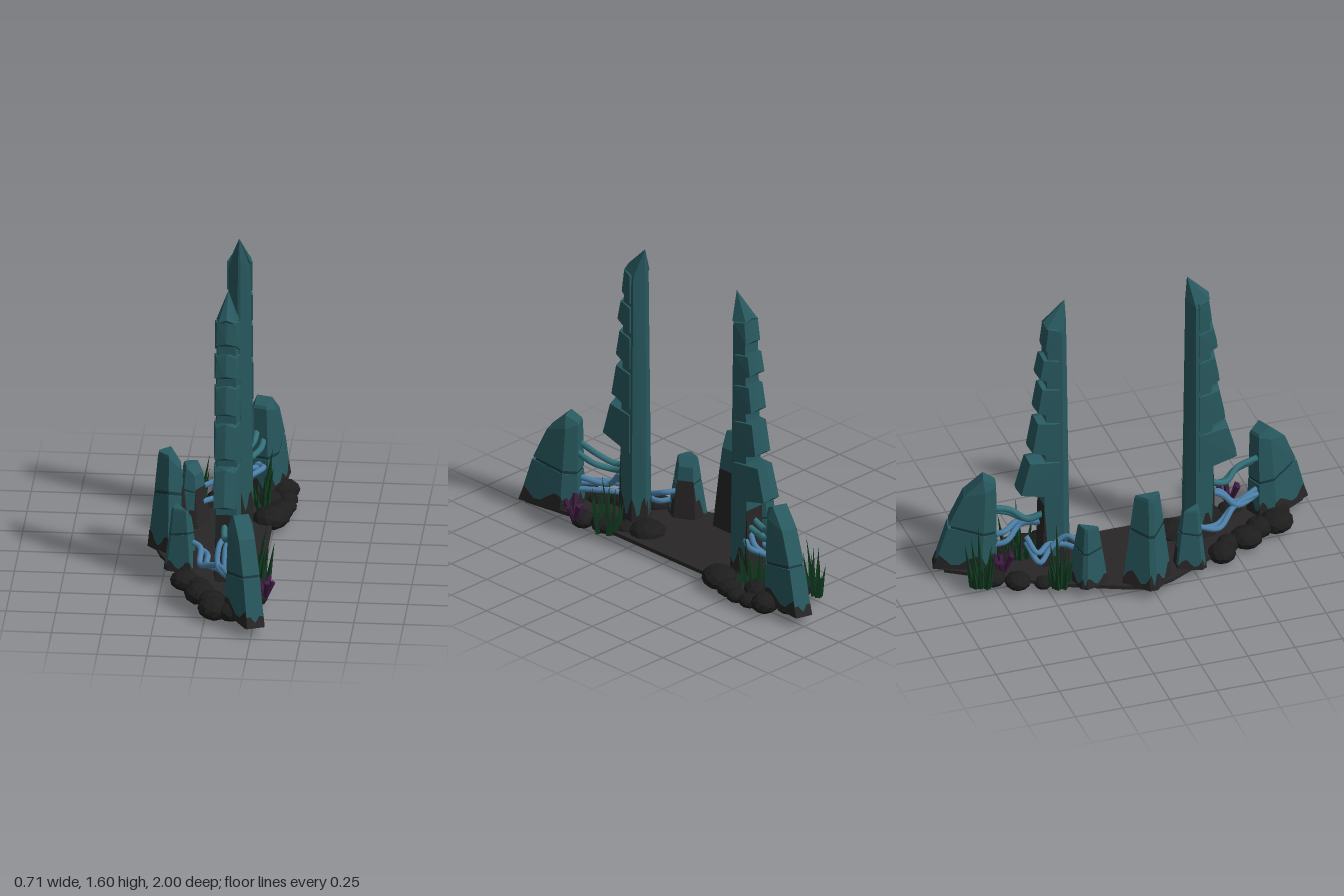
import * as THREE from 'three';
import { ConvexGeometry } from 'three/addons/geometries/ConvexGeometry.js';

const mat = (name, color, extra = {}) => {
  const m = new THREE.MeshStandardMaterial({ color, flatShading: true, ...extra });
  m.name = name;
  return m;
};
const V = (x, y, z) => new THREE.Vector3(x, y, z);

export function createModel() {
  const model = new THREE.Group();
  model.name = 'ruinedGate';
  const teal = mat('tealStone', 0x28595f);
  const groove = mat('grooveTeal', 0x183a3f);
  const dark = mat('darkStone', 0x282627, { side: THREE.DoubleSide });
  const rockMat = mat('rock', 0x1e1d1d);
  const blue = mat('cableBlue', 0x4c80a8, { flatShading: false });
  const tealCable = mat('cableTeal', 0x33707a, { flatShading: false });
  const green = mat('weedGreen', 0x103a20);
  const purple = mat('coralPurple', 0x3d1b40);

  let seed = 7;
  const rnd = () => (seed = (seed * 16807) % 2147483647) / 2147483647;
  const add = (parent, name, geo, m) => {
    const mesh = new THREE.Mesh(geo, m);
    mesh.name = name;
    parent.add(mesh);
    return mesh;
  };
  const hull = (parent, name, pts, m) => add(parent, name, new ConvexGeometry(pts), m);

  // Half cross-section [x, y, z] mirrored into a closed ring
  const ring = (half) => [
    ...half.map(([x, y, z]) => V(x, y, z)),
    ...half.slice().reverse().map(([x, y, z]) => V(-x, y, z)),
  ];
  const between = (a, b, t, grow = 1) => {
    const c = a.reduce((s, p) => s.add(p), V(0, 0, 0)).divideScalar(a.length);
    return a.map((p, i) => {
      const q = p.clone().lerp(b[i], t);
      q.x *= grow;
      q.z = c.z + (q.z - c.z) * grow;
      return q;
    });
  };

  // Worn dark stone skin hugging the foot of a block, with an uneven top edge
  function wornFoot(parent, a, b, height) {
    const n = a.length, div = 6, pos = [], idx = [];
    const lo = between(a, b, 0, 1.02), hi = between(a, b, 1, 1.03);
    for (let i = 0; i < n * div; i++) {
      const k = Math.floor(i / div), f = (i % div) / div, j = (k + 1) % n;
      const p = lo[k].clone().lerp(lo[j], f), q = hi[k].clone().lerp(hi[j], f);
      const r = p.clone().lerp(q, height(p, i));
      pos.push(p.x, p.y, p.z, r.x, r.y, r.z);
      const s = 2 * i, e = 2 * ((i + 1) % (n * div));
      idx.push(s, e, s + 1, e, e + 1, s + 1);
    }
    const g = new THREE.BufferGeometry();
    g.setAttribute('position', new THREE.Float32BufferAttribute(pos, 3));
    g.setIndex(idx);
    g.computeVertexNormals();
    add(parent, 'wornFoot', g, dark);
  }

  const place = (name, x, z, angle, scale = [1, 1, 1]) => {
    const g = new THREE.Group();
    g.name = name;
    g.position.set(x, 0.055, z);
    g.rotation.y = angle;
    g.scale.set(...scale);
    model.add(g);
    return g;
  };

  // Tilted stone block split in two by a groove; local +z points outward
  function block(g, a, b, cap, split, tilt, height) {
    const cut = (t) => between(a, b, t).map((p) => p.setY(p.y + tilt * (p.z - 0.1)));
    hull(g, 'grooveCore', [...between(a, b, 0.1, 0.96), ...between(a, b, 0.92, 0.95)], groove);
    hull(g, 'lowerBlock', [...a, ...cut(split)], teal);
    hull(g, 'upperBlock', [...cut(split + 0.04), ...b, ...cap], teal);
    wornFoot(g, a, b, height);
  }

  // Outer pylons
  const pylonA = ring([[0.05, 0, 0], [0.09, 0, 0.08], [0.045, 0, 0.32]]);
  const pylonB = ring([[0.035, 0.47, 0.005], [0.065, 0.45, 0.06], [0.042, 0.42, 0.17]]);
  const pylonCap = ring([[0.032, 0.485, 0.012], [0.04, 0.515, 0.07]]);
  for (const [x, z, a] of [[0.155, 0.675, 0.386], [0.155, -0.685, Math.PI - 0.278]])
    block(place('outerPylon', x, z, a), pylonA, pylonB, pylonCap, 0.47, 0.28,
      (p, i) => 0.13 + 0.07 * Math.sin(i * 1.15));

  // Centre and side pillars, with a dark arch on the inner face
  const pillarA = ring([[0.07, 0, 0], [0.13, 0, 0.09], [0.02, 0, 0.2]]);
  const pillarB = ring([[0.045, 0.44, 0.04], [0.067, 0.5, 0.09], [0.012, 0.49, 0.15]]);
  const pillarCap = ring([[0.06, 0.515, 0.09], [0.01, 0.515, 0.145]]);
  const arch = (p, i) => (p.z < 0.005 ? 0.74 : p.z < 0.05 ? 0.35 : 0.12 + 0.07 * Math.sin(i * 1.2));
  for (const [name, x, z, a, s] of [
    ['centrePillar', -0.15, -0.025, -Math.PI / 2, [1, 1, 1]],
    ['sidePillar', -0.1, 0.2, -1.04, [0.8, 0.64, 0.8]],
    ['sidePillar', -0.09, -0.27, -2.1, [0.8, 0.64, 0.8]],
  ]) block(place(name, x, z, a, s), pillarA, pillarB, pillarCap, 0.62, -0.25, arch);

  // Tall towers with stepped armour plates on the outer side
  const towerA = ring([[0.012, 0, 0], [0.07, 0, 0.05], [0.055, 0, 0.155]]);
  const towerB = ring([[0.006, 1.42, 0.018], [0.055, 1.38, 0.055], [0.045, 1.37, 0.128]]);
  const plates = [ // bottom, top, reach at bottom, reach at top
    [1.265, 1.42, 0.152, 0.138], [1.1, 1.24, 0.182, 0.162], [0.9, 1.07, 0.192, 0.17],
    [0.67, 0.87, 0.222, 0.193], [0.43, 0.64, 0.283, 0.235],
  ];
  for (const [z, a] of [[0.272, 0], [-0.328, Math.PI]]) {
    const g = place('tower', 0.08, z, a);
    hull(g, 'towerBody', [...towerA, ...towerB, V(0, 1.545, 0.025)], teal);
    wornFoot(g, towerA, towerB, (p, i) => (p.z > 0.15 ? 0.27 : 0.08 + 0.04 * Math.sin(i * 1.3)));
    plates.forEach(([y0, y1, z0, z1], i) => {
      const w = 0.064 - i * -0.001;
      hull(g, 'armourPlate', [
        ...ring([[w, y0 - 0.02, 0.07], [w * 0.8, y0 + 0.025, z0 - 0.012]]),
        ...ring([[w, y1 - 0.02, 0.07], [w * 0.75, y1 - 0.01, z1 - 0.012]]),
        V(0, y0 + 0.04, z0), V(0, y1 + 0.01, z1 - 0.005),
      ], teal);
    });
    hull(g, 'towerCrest', [
      ...ring([[0.057, 1.4, 0.05], [0.042, 1.41, 0.132]]), V(0, 1.545, 0.025), V(0, 1.43, 0.14),
    ], teal);
  }

  // Floor slab
  const outline = [[0.25, -0.6], [0.25, 0.6], [0.3, 0.93], [0.22, 0.96], [0.05, 0.67], [-0.12, 0.4],
    [-0.28, 0.1], [-0.32, -0.03], [-0.27, -0.16], [-0.15, -0.44], [0, -0.7], [0.17, -0.96], [0.24, -0.94]];
  const floor = new THREE.ExtrudeGeometry(
    new THREE.Shape(outline.map(([x, z]) => new THREE.Vector2(x, -z))), { depth: 0.02, bevelEnabled: false });
  floor.rotateX(-Math.PI / 2).translate(0, 0.042, 0);
  add(model, 'floor', floor, dark);

  // Boulders: x, z, radius
  for (const [x, z, r] of [
    [0.27, -0.75, 0.075], [0.3, -0.66, 0.05], [0.3, -0.57, 0.05], [0.28, -0.5, 0.06], [0.24, -0.39, 0.095],
    [-0.04, -0.64, 0.06], [0.03, -0.75, 0.06], [0.2, -0.84, 0.055], [0.2, -0.62, 0.07], [-0.08, -0.52, 0.045],
    [0.13, 0.23, 0.085], [-0.13, 0.41, 0.07], [-0.05, 0.47, 0.06], [-0.04, 0.57, 0.075], [0.03, 0.66, 0.07],
    [0.05, 0.76, 0.085], [0.13, 0.78, 0.07], [0.21, 0.45, 0.07], [0.24, 0.58, 0.06], [0.17, 0.34, 0.06],
  ]) {
    const b = add(model, 'boulder', new THREE.IcosahedronGeometry(1, 1), rockMat);
    const h = Math.min(0.058, r * 0.75);
    b.scale.set(r * (0.95 + rnd() * 0.2), h, r * (0.95 + rnd() * 0.2));
    b.rotation.y = rnd() * 6;
    b.position.set(x, h + 0.002 + rnd() * 0.012, z);
  }

  // Cables
  const cable = (pts, r, m) => add(model, 'cable', new THREE.TubeGeometry(
    new THREE.CatmullRomCurve3(pts.map((p) => V(...p))), 28, r, 8), m);
  for (const d of [0, 0.035]) {
    cable([[-0.1 + d, 0.2 - d, 0.26], [-0.06 + d, 0.19 - d, 0.3], [-0.05 + d, 0.15, 0.42],
      [0.05 + d, 0.2 - d, 0.54], [0.14 + d, 0.19 - d, 0.7]], 0.015, blue);
    cable([[-0.1, 0.25 - 2 * d, -0.33 + d], [-0.03 + d, 0.26 - 2 * d, -0.38], [-0.02 + d, 0.2, -0.46],
      [-0.06 + d, 0.15 + d, -0.53], [0.04, 0.22 + d, -0.57]], 0.015, blue);
    cable([[0.13 + d, 0.18 + d, -0.72], [0.11 + d, 0.2 + d, -0.65], [0.15 + d, 0.26, -0.56],
      [0.09 + d, 0.29 - d, -0.46]], 0.015, blue);
    cable([[0.08 + d, 0.3 - d, 0.4], [0.05 + d, 0.28, 0.47], [0.05 + d, 0.2, 0.55], [0.15, 0.18 + d, 0.7]], 0.015, blue);
    for (const [s, z] of [[1, 0], [-1, -0.045]])
      cable([[0.07 + d, 0.37 - d, z + s * 0.39], [0.08 + d, 0.33 - d * 0.5, z + s * 0.5],
        [0.13 + d, 0.37 - d, z + s * 0.58], [0.14 + d, 0.4 - d, z + s * 0.69]], 0.016, tealCable);
  }

  // Spiky weeds: x, z, spread
  for (const [x, z, spread] of [[0, -0.82, 0.05], [-0.13, -0.45, 0.045], [0.18, -0.56, 0.07], [0.23, 0.4, 0.075]]) {
    const clump = new THREE.Group();
    clump.name = 'weedClump';
    clump.position.set(x, 0.04, z);
    model.add(clump);
    for (let i = 0; i < 13; i++) {
      const h = i === 0 ? 0.34 : 0.1 + rnd() * 0.16, a = i * 2.4, d = i === 0 ? 0 : spread * (0.4 + 0.6 * rnd());
      const blade = add(clump, 'blade', new THREE.ConeGeometry(0.017, h, 4).translate(0, h / 2, 0), green);
      blade.position.set(Math.cos(a) * d * 0.8, 0, Math.sin(a) * d);
      blade.rotation.set(Math.sin(a) * 0.16, 0, -Math.cos(a) * 0.16);
    }
  }

  // Branching coral
  for (const [x, z] of [[0.29, 0.59], [0.05, -0.69]]) {
    const coral = new THREE.Group();
    coral.name = 'coral';
    coral.position.set(x, 0.05, z);
    model.add(coral);
    for (let i = 0; i < 5; i++) {
      const a = i * 1.26, h = 0.1 + 0.02 * (i % 3);
      const arm = add(coral, 'coralArm', new THREE.CylinderGeometry(0.015, 0.011, h, 6).translate(0, h / 2, 0), purple);
      arm.rotation.set(Math.sin(a) * 0.45, 0, -Math.cos(a) * 0.4);
    }
  }
  return model;
}
